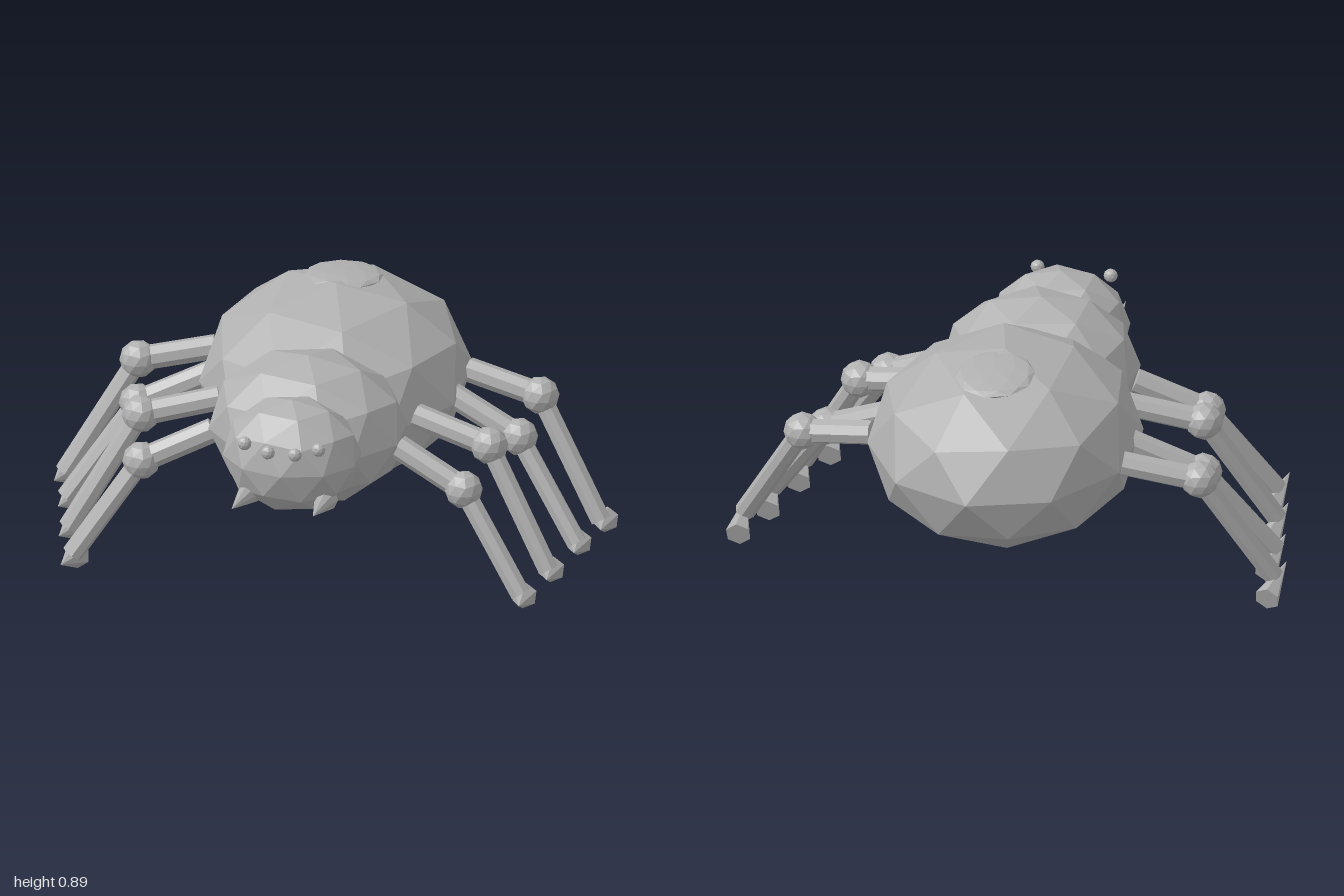
import * as THREE from 'three';

export function createModel() {
  const model = new THREE.Group();
  model.name = 'spider';
  const grey = new THREE.MeshStandardMaterial({ color: 0xb0b0b0, flatShading: true });
  grey.name = 'grey';

  function add(name, geometry, parent = model) {
    const mesh = new THREE.Mesh(geometry, grey);
    mesh.name = name;
    parent.add(mesh);
    return mesh;
  }

  // Faceted ball with its pole on y and a ten-sided equator pointing along z
  function ball(name, pos, size, parent) {
    const g = new THREE.IcosahedronGeometry(1, 1);
    g.rotateX(-Math.atan2(0.8507, 0.5257)).rotateY(Math.PI / 2).scale(...size);
    const mesh = add(name, g, parent);
    mesh.position.set(...pos);
    return mesh;
  }

  // Cylinder or cone from point a to point b
  function rod(name, a, b, rA, rB, sides, parent) {
    const from = new THREE.Vector3(...a);
    const dir = new THREE.Vector3(...b).sub(from);
    const mesh = add(name, new THREE.CylinderGeometry(rB, rA, dir.length(), sides), parent);
    mesh.position.copy(from).addScaledVector(dir, 0.5);
    mesh.quaternion.setFromUnitVectors(new THREE.Vector3(0, 1, 0), dir.normalize());
    return mesh;
  }

  // Body
  ball('abdomen', [0, 0.545, -0.28], [0.478, 0.345, 0.55]);
  ball('thorax', [0, 0.572, 0.208], [0.354, 0.273, 0.3]);
  ball('head', [0, 0.597, 0.485], [0.247, 0.207, 0.2]);

  // Flat marking sunk into the top of the abdomen
  const marking = ball('backMarking', [0, 0.857, -0.42], [0.14, 0.022, 0.145]);
  marking.rotation.x = -0.12;

  // Legs, front to back: hip, knee, ankle, foot base
  const legs = [
    { hip: [0.33, 0.54, 0.245], knee: [0.575, 0.425, 0.303], ankle: [0.8, 0.09, 0.41], foot: [0.797, 0.33] },
    { hip: [0.35, 0.56, 0.03], knee: [0.622, 0.498, 0.087], ankle: [0.855, 0.09, 0.2], foot: [0.85, 0.107] },
    { hip: [0.43, 0.54, -0.2], knee: [0.68, 0.425, -0.147], ankle: [0.91, 0.09, -0.03], foot: [0.9, -0.123] },
    { hip: [0.45, 0.55, -0.385], knee: [0.717, 0.498, -0.338], ankle: [0.955, 0.09, -0.225], foot: [0.955, -0.32] },
  ];

  for (const s of [1, -1]) {
    const side = s > 0 ? 'left' : 'right';
    const flip = ([x, y, z]) => [s * x, y, z];

    legs.forEach(({ hip, knee, ankle, foot }, i) => {
      const leg = new THREE.Group();
      leg.name = `${side}Leg${i + 1}`;
      model.add(leg);
      rod('upperLeg', flip(hip), flip(knee), 0.044, 0.044, 8, leg);
      ball('knee', flip(knee), [0.067, 0.067, 0.067], leg);
      rod('lowerLeg', flip(knee), flip(ankle), 0.037, 0.037, 8, leg);
      const [fx, fz] = foot;
      rod('foot', flip([fx, 0.047, fz]), flip([fx + 0.02, 0.1, fz + 0.195]), 0.046, 0, 6, leg);
    });

    // Fang and eyes
    rod(`${side}Fang`, flip([0.137, 0.465, 0.555]), flip([0.145, 0.53, 0.83]), 0.042, 0, 8);
    ball(`${side}InnerEye`, flip([0.048, 0.683, 0.67]), [0.025, 0.025, 0.022]);
    ball(`${side}OuterEye`, flip([0.132, 0.71, 0.668]), [0.025, 0.025, 0.022]);
  }
  return model;
}
